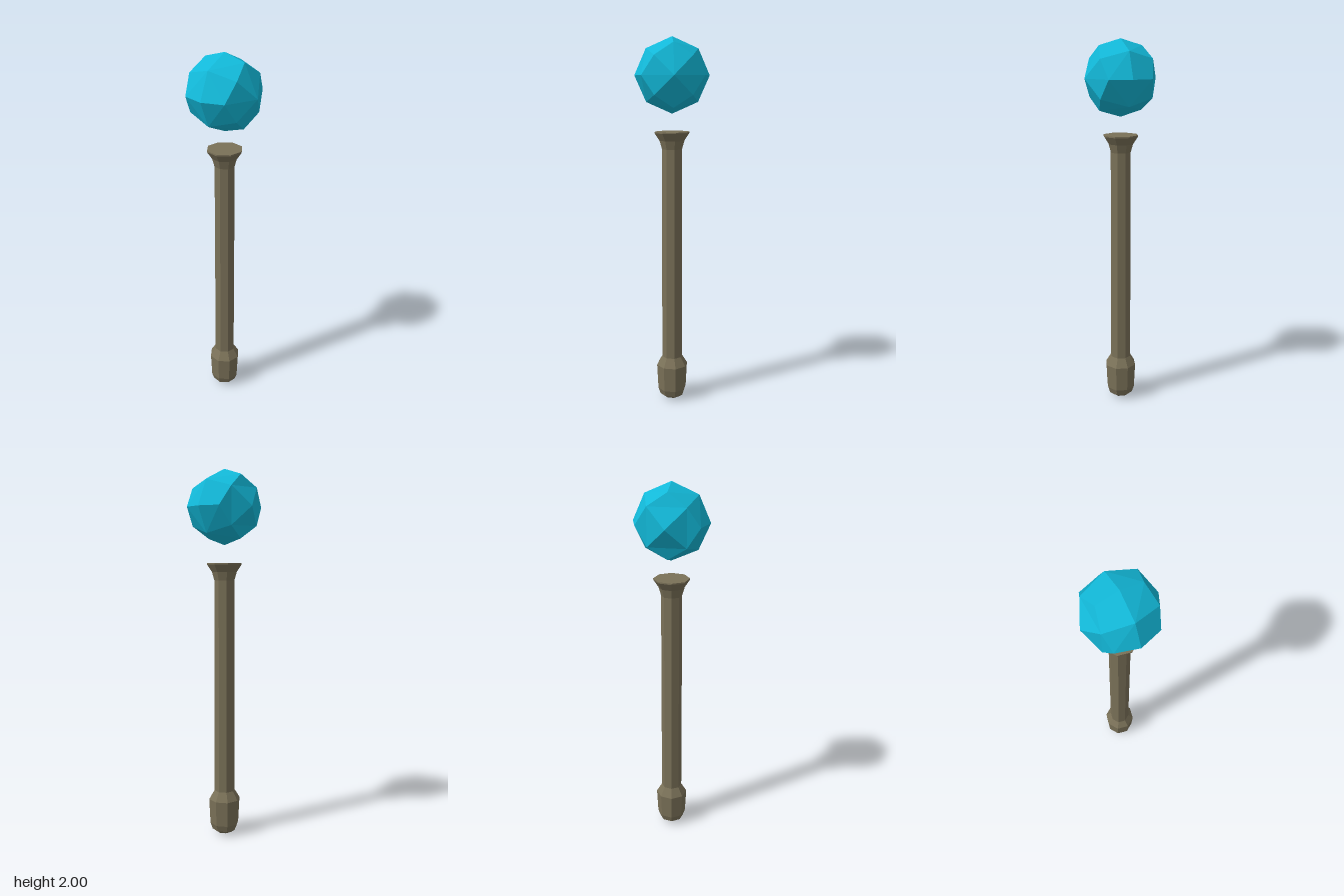
import * as THREE from 'three';

// Faceted ball: each cube side becomes four kites pushed out to near-sphere radii.
function gemGeometry() {
  const radius = [0, 0.193, 0.197, 0.2]; // side centre, edge middle, corner
  const up = new THREE.Vector3(0, 1, 0);
  const h = new THREE.Vector3(0.8165, 0, -0.5774);
  const axes = [
    new THREE.Vector3(-0.5774, 0, -0.8165),
    up.clone().sub(h).multiplyScalar(Math.SQRT1_2),
    up.clone().add(h).multiplyScalar(Math.SQRT1_2),
  ];
  const point = (c) => {
    const v = new THREE.Vector3();
    c.forEach((s, i) => v.addScaledVector(axes[i], s));
    return v.setLength(radius[c.filter((s) => s !== 0).length]);
  };
  const pos = [];
  const tri = (a, b, c) => {
    // keep every triangle facing outward
    const n = b.clone().sub(a).cross(c.clone().sub(a));
    const list = n.dot(a) > 0 ? [a, b, c] : [a, c, b];
    list.forEach((p) => pos.push(p.x, p.y, p.z));
  };
  for (let a = 0; a < 3; a++) for (const s of [1, -1]) for (const u of [1, -1]) for (const v of [1, -1]) {
    const at = (p, q) => {
      const c = [0, 0, 0];
      c[a] = s; c[(a + 1) % 3] = p; c[(a + 2) % 3] = q;
      return point(c);
    };
    const centre = at(0, 0), e1 = at(u, 0), corner = at(u, v), e2 = at(0, v);
    if (a === 0 && s === 1) { // this side folds inward across its kites
      tri(centre, e1, e2);
      tri(e1, corner, e2);
    } else {
      tri(centre, e1, corner);
      tri(centre, corner, e2);
    }
  }
  const g = new THREE.BufferGeometry();
  g.setAttribute('position', new THREE.Float32BufferAttribute(pos, 3));
  g.computeVertexNormals();
  return g;
}

export function createModel() {
  const model = new THREE.Group();
  const add = (name, geometry, color) => {
    const mesh = new THREE.Mesh(geometry, new THREE.MeshStandardMaterial({ color, flatShading: true }));
    mesh.name = name;
    model.add(mesh);
    return mesh;
  };

  // Eight-sided staff: rounded pommel, long shaft, flared top
  const profile = [
    [0, 0], [0.045, 0.008], [0.068, 0.025], [0.08, 0.06], [0.087, 0.2], [0.057, 0.25],
    [0.055, 1.42], [0.068, 1.465], [0.095, 1.505], [0.095, 1.512], [0, 1.512],
  ].map(([r, y]) => new THREE.Vector2(r, y));
  add('staff', new THREE.LatheGeometry(profile, 8), 0x7a7158);

  // Floating gem above the staff
  add('gem', gemGeometry(), 0x12b8d8).position.y = 1.803;

  return model;
}
